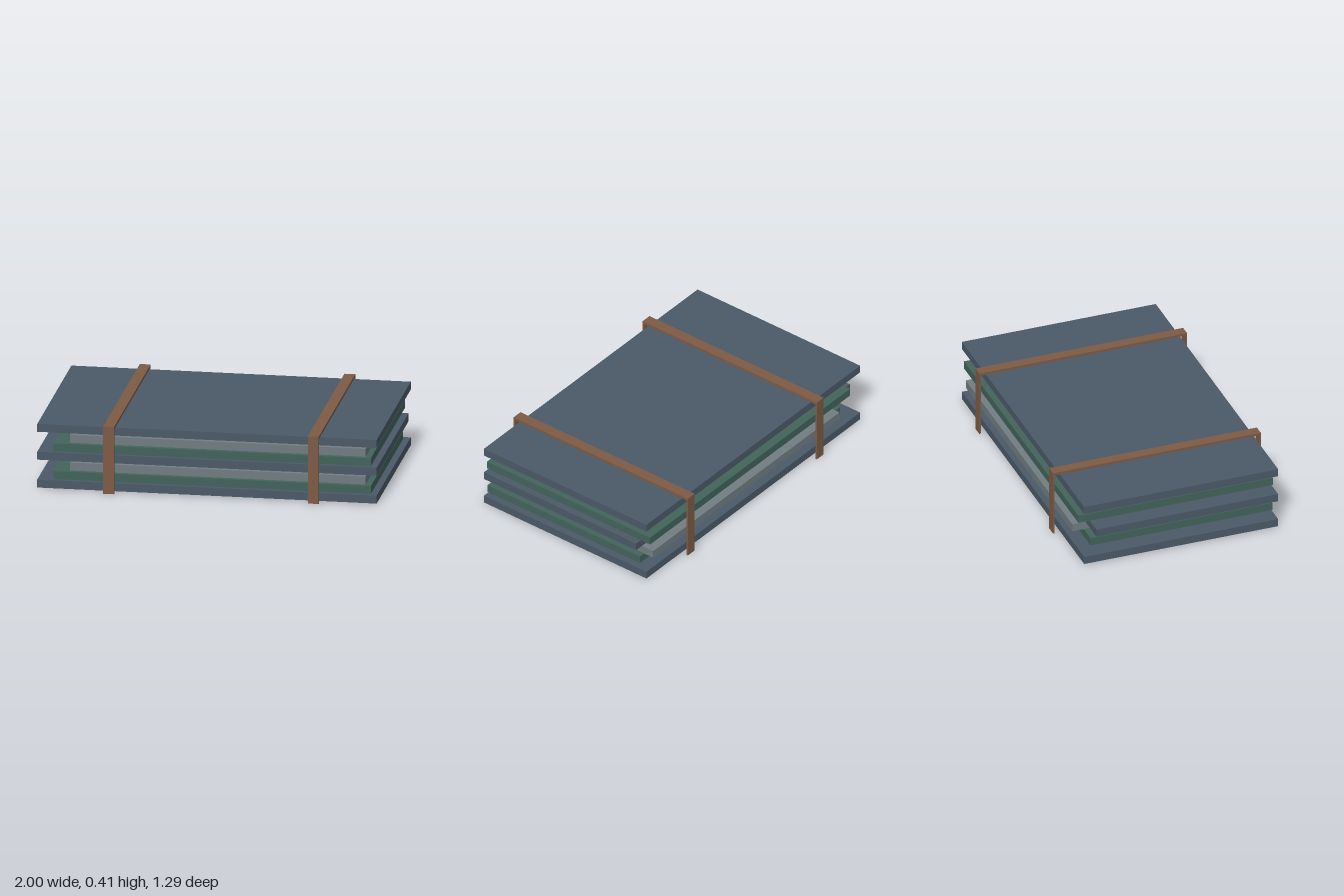
import * as THREE from 'three';

const slate = new THREE.MeshStandardMaterial({ name: 'slate blue', color: 0x4b5a68 });
const green = new THREE.MeshStandardMaterial({ name: 'dull green', color: 0x42645b });
const grey = new THREE.MeshStandardMaterial({ name: 'stone grey', color: 0x717d81 });
const brown = new THREE.MeshStandardMaterial({ name: 'strap brown', color: 0x7d5b45 });

// Box given by its extents along each axis
function block(name, material, [x0, x1], [y0, y1], [z0, z1]) {
  const mesh = new THREE.Mesh(new THREE.BoxGeometry(x1 - x0, y1 - y0, z1 - z0), material);
  mesh.position.set((x0 + x1) / 2, (y0 + y1) / 2, (z0 + z1) / 2);
  mesh.name = name;
  return mesh;
}

export function createModel() {
  const model = new THREE.Group();
  model.name = 'strappedSheetStack';

  // Sheets, bottom to top: three sizes in rotation, with two back edges
  const kinds = [
    { name: 'slateSheet', material: slate, x: [-1, 1] },
    { name: 'greenSheet', material: green, x: [-0.905, 0.966] },
    { name: 'greySheet', material: grey, x: [-0.806, 0.936] },
  ];
  const fronts = [0.603, 0.603, 0.603, 0.603, 0.606, 0.606, 0.603];
  const backs = [-0.603, -0.527, -0.603, -0.527, -0.603, -0.527, -0.603];
  const thickness = 0.048, pitch = 0.0563;
  fronts.forEach((front, i) => {
    const { name, material, x } = kinds[i % 3];
    const y = 0.006 + i * pitch;
    model.add(block(name + (i + 1), material, x, [y, y + thickness], [backs[i], front]));
  });

  // Straps: one bar over the top and a thin band down the front and back
  for (const [name, cx] of [['rightStrap', -0.572], ['leftStrap', 0.634]]) {
    const strap = new THREE.Group();
    strap.name = name;
    const x = [cx - 0.032, cx + 0.032];
    strap.add(
      block('topBar', brown, x, [0.392, 0.408], [-0.646, 0.646]),
      block('frontBand', brown, x, [0, 0.392], [0.636, 0.646]),
      block('backBand', brown, x, [0, 0.392], [-0.646, -0.636]),
    );
    model.add(strap);
  }
  return model;
}
